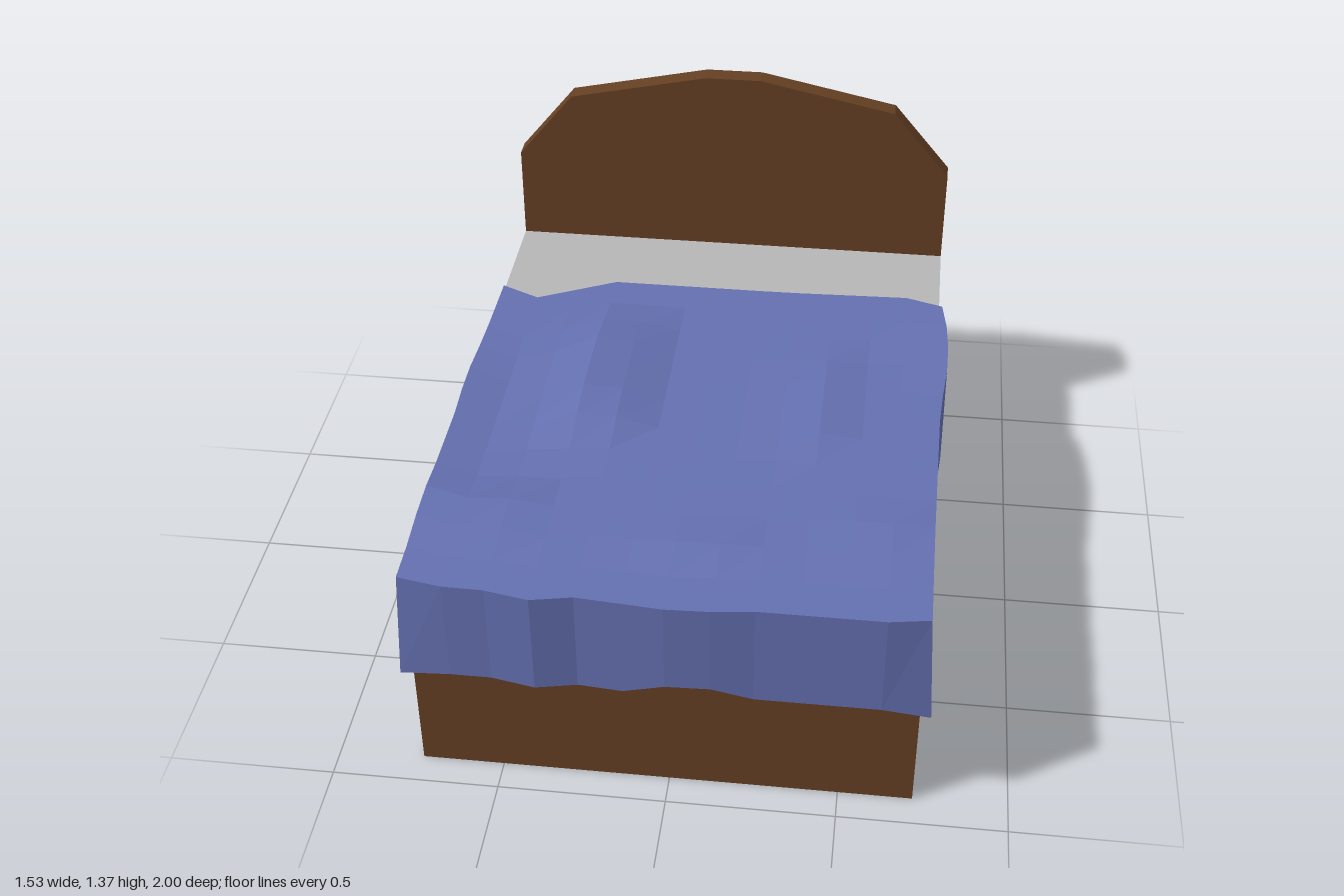
import * as THREE from 'three';

const wood = new THREE.MeshStandardMaterial({ color: 0x643f23 });
wood.name = 'brown wood';
const sheet = new THREE.MeshStandardMaterial({ color: 0xb6b6b6 });
sheet.name = 'grey mattress';
const cloth = new THREE.MeshStandardMaterial({ color: 0x6470b0, side: THREE.DoubleSide, flatShading: true });
cloth.name = 'blue blanket';

const LEFT = -0.745, RIGHT = 0.72, BACK = -0.935, FRONT = 0.905;

// Box given by its lower and upper bounds
function block(name, y0, y1, material) {
  const geo = new THREE.BoxGeometry(RIGHT - LEFT, y1 - y0, FRONT - BACK);
  geo.translate((LEFT + RIGHT) / 2, (y0 + y1) / 2, (BACK + FRONT) / 2);
  const mesh = new THREE.Mesh(geo, material);
  mesh.name = name;
  return mesh;
}

// Piecewise linear lookup through [position, value] points
function along(points, p) {
  if (p <= points[0][0]) return points[0][1];
  for (let i = 1; i < points.length; i++) {
    const [a, u] = points[i - 1], [b, v] = points[i];
    if (p <= b) return u + (v - u) * (p - a) / (b - a);
  }
  return points[points.length - 1][1];
}

// Arched headboard
function makeHeadboard() {
  const outline = [[LEFT, 0], [RIGHT, 0], [RIGHT, 1.05], [0.53, 1.275], [0.08, 1.37], [-0.105, 1.37], [-0.56, 1.275], [LEFT, 1.05]];
  const shape = new THREE.Shape(outline.map(([x, y]) => new THREE.Vector2(x, y)));
  const geo = new THREE.ExtrudeGeometry(shape, { depth: 0.065, bevelEnabled: false });
  geo.translate(0, 0, -1);
  const mesh = new THREE.Mesh(geo, wood);
  mesh.name = 'headboard';
  return mesh;
}

// Outlines of the blanket: back and front edge by x, side edges and hems by z
const backEdge = [[-0.745, -0.55], [-0.66, -0.525], [-0.62, -0.49], [-0.37, -0.615], [0.2, -0.615], [0.64, -0.63], [0.73, -0.59]];
const frontEdge = [[-0.745, 0.945], [-0.61, 0.97], [-0.5, 0.97], [-0.37, 0.995], [-0.25, 0.97], [0, 0.99], [0.13, 0.985], [0.25, 0.97], [0.61, 0.97], [0.73, 0.95]];
const leftEdge = [[-0.6, -0.746], [-0.2, -0.75], [0, -0.756], [0.2, -0.748], [0.6, -0.75], [0.95, -0.75]];
const rightEdge = [[-0.6, 0.728], [-0.41, 0.752], [-0.23, 0.752], [0, 0.733], [0.6, 0.728], [0.95, 0.728]];
const sideHem = [[-0.58, 0.47], [-0.4, 0.41], [0, 0.41], [0.2, 0.445], [0.62, 0.435], [0.8, 0.41], [0.95, 0.385]];
const frontHem = [[-0.73, 0.395], [-0.61, 0.415], [-0.12, 0.415], [0, 0.455], [0.13, 0.455], [0.25, 0.415], [0.61, 0.415], [0.73, 0.435]];

// Soft folds: [x, z, x radius, z radius, height]
const folds = [
  [-0.33, -0.06, 0.13, 0.32, 0.06], [0.06, 0.72, 0.18, 0.1, 0.018], [0.37, 0.0, 0.1, 0.25, 0.022],
  [-0.6, 0.62, 0.18, 0.12, 0.022], [0.7, -0.3, 0.08, 0.2, 0.015], [-0.74, 0.3, 0.06, 0.5, 0.018], [0.55, 0.6, 0.15, 0.12, 0.014],
];
function topHeight(x, z) {
  let y = 0.752;
  for (const [fx, fz, rx, rz, h] of folds) y += h * Math.exp(-(((x - fx) / rx) ** 2) - ((z - fz) / rz) ** 4);
  return y;
}

// Blanket: a draped sheet with a skirt on the left, right and front
function makeBlanket() {
  const xs = [-0.745, -0.62, -0.5, -0.37, -0.25, -0.12, 0, 0.13, 0.25, 0.37, 0.5, 0.61, 0.73];
  const steps = 12, cols = xs.length + 2, pos = [], index = [];
  const topPoint = (x, t) => {
    const z = THREE.MathUtils.lerp(along(backEdge, x), along(frontEdge, x), t);
    let px = x;
    if (x === xs[0]) px = along(leftEdge, z);
    if (x === xs[xs.length - 1]) px = along(rightEdge, z);
    return [px, topHeight(px, z), z];
  };
  const sidePoint = (x, t) => {
    const [px, , z] = topPoint(x, t);
    return [px + Math.sign(x) * (0.004 + 0.018 * t ** 4), along(sideHem, z), z];
  };
  const first = xs[0], last = xs[xs.length - 1];
  for (let r = 0; r <= steps; r++) {
    const t = r / steps;
    pos.push(sidePoint(first, t), ...xs.map((x) => topPoint(x, t)), sidePoint(last, t));
  }
  // Front hem, sharing its corners with the side hems
  const middle = xs.slice(1, -1).map((x) => [x, along(frontHem, x), along(frontEdge, x) - 0.005]);
  const cornerL = sidePoint(first, 1), cornerR = sidePoint(last, 1);
  pos.push(cornerL, cornerL, ...middle, cornerR, cornerR);

  for (let r = 0; r <= steps; r++) {
    for (let c = 0; c < cols - 1; c++) {
      if (r === steps && (c === 0 || c === cols - 2)) continue;
      const a = r * cols + c, b = a + cols;
      index.push(a, b, a + 1, b, b + 1, a + 1);
    }
  }
  const geo = new THREE.BufferGeometry();
  geo.setAttribute('position', new THREE.Float32BufferAttribute(pos.flat(), 3));
  geo.setIndex(index);
  const flat = geo.toNonIndexed();
  flat.computeVertexNormals();
  const mesh = new THREE.Mesh(flat, cloth);
  mesh.name = 'blanket';
  return mesh;
}

export function createModel() {
  const bed = new THREE.Group();
  bed.name = 'bed';
  bed.add(block('bedBase', 0, 0.6, wood), block('mattress', 0.6, 0.735, sheet), makeHeadboard(), makeBlanket());
  return bed;
}
